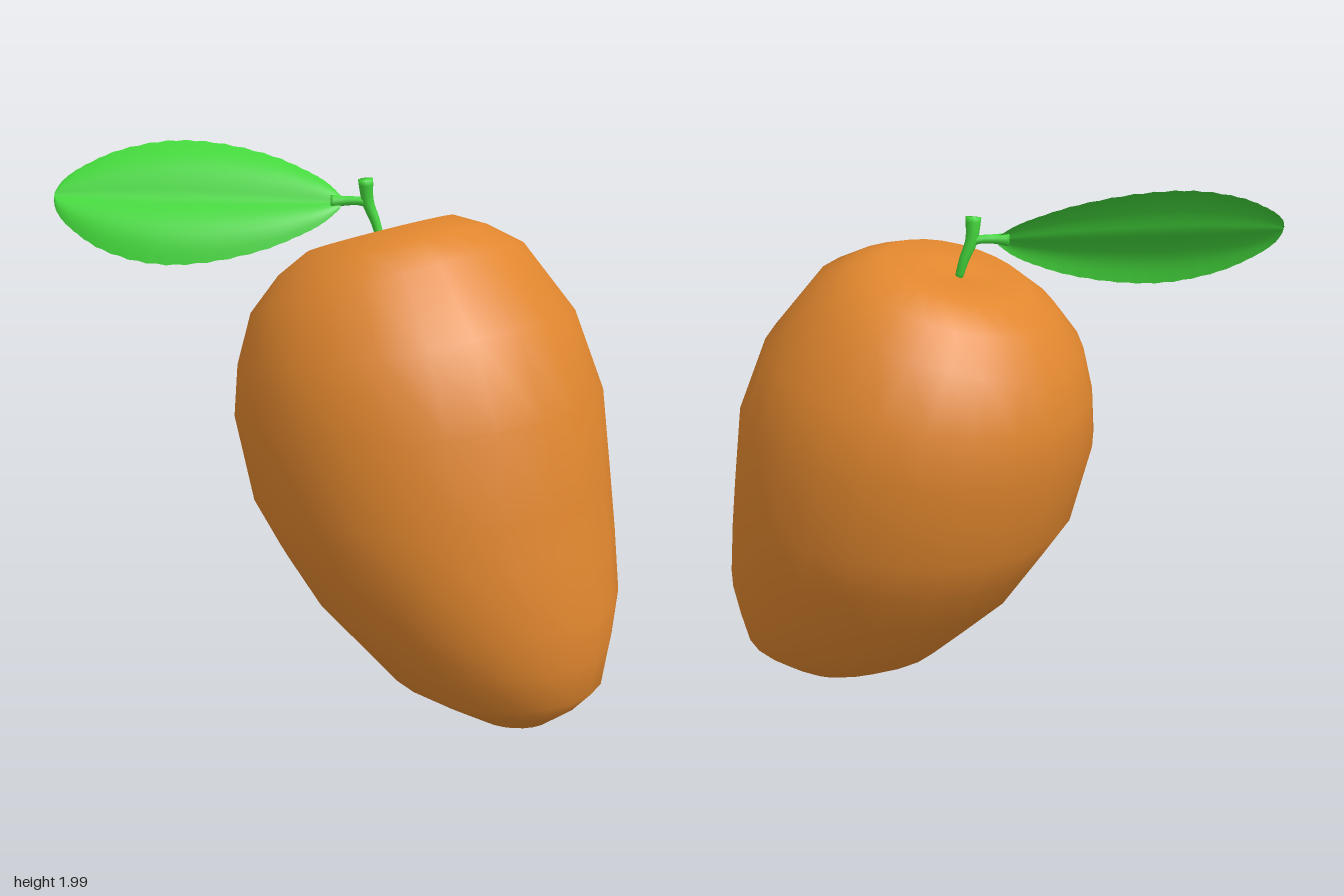
import * as THREE from 'three';

const V = (x, y, z) => new THREE.Vector3(x, y, z);

// Skin a grid of points: point(i, j) for i in 0..rows, j in 0..cols
function skin(rows, cols, point, wrap) {
  const pos = [], idx = [], n = wrap ? cols : cols + 1;
  for (let i = 0; i <= rows; i++)
    for (let j = 0; j < n; j++) pos.push(...point(i, j).toArray());
  for (let i = 0; i < rows; i++)
    for (let j = 0; j < cols; j++) {
      const a = i * n + j, b = i * n + (j + 1) % n, c = a + n, d = b + n;
      idx.push(a, b, c, b, d, c);
    }
  const g = new THREE.BufferGeometry();
  g.setAttribute('position', new THREE.Float32BufferAttribute(pos, 3));
  g.setIndex(idx);
  g.computeVertexNormals();
  return g;
}

// Round capped rod along a curve, with a radius that varies from end to end
function rod(points, radii) {
  const curve = new THREE.CatmullRomCurve3(points);
  const rows = 12, cols = 10;
  const frames = curve.computeFrenetFrames(rows);
  return skin(rows + 2, cols, (i, j) => {
    const k = Math.min(Math.max(i - 1, 0), rows), t = k / rows;
    const f = t * (radii.length - 1), m = Math.min(Math.floor(f), radii.length - 2);
    const capped = i === 0 || i === rows + 2;
    const r = capped ? 0.0005 : THREE.MathUtils.lerp(radii[m], radii[m + 1], f - m);
    const a = j / cols * Math.PI * 2;
    return curve.getPointAt(t)
      .addScaledVector(frames.normals[k], r * Math.cos(a))
      .addScaledVector(frames.binormals[k], r * Math.sin(a));
  }, true);
}

export function createModel() {
  const group = new THREE.Group();
  const add = (name, geometry, color, side = THREE.FrontSide) => {
    const mesh = new THREE.Mesh(geometry, new THREE.MeshStandardMaterial({ color, side }));
    mesh.name = name;
    group.add(mesh);
  };

  // Fruit: tilted oval rings, each [left x, left y, right x, right y, half depth]
  const rings = [
    [0.01, 1.67, 0.012, 1.671, 0.001],
    [-0.1, 1.648, 0.13, 1.718, 0.13],
    [-0.23, 1.61, 0.26, 1.77, 0.28],
    [-0.33, 1.52, 0.38, 1.745, 0.39],
    [-0.42, 1.38, 0.51, 1.69, 0.51],
    [-0.45, 1.22, 0.71, 1.46, 0.62],
    [-0.46, 1.06, 0.83, 1.18, 0.665],
    [-0.38, 0.76, 0.875, 0.88, 0.65],
    [-0.28, 0.61, 0.91, 0.69, 0.605],
    [-0.17, 0.45, 0.95, 0.47, 0.535],
    [0, 0.29, 0.945, 0.32, 0.44],
    [0.13, 0.17, 0.93, 0.18, 0.36],
    [0.3, 0.08, 0.86, 0.1, 0.24],
    [0.47, 0.005, 0.76, 0.02, 0.12],
    [0.61, 0.006, 0.612, 0.006, 0.001],
  ];
  const sides = 24;
  add('fruit', skin(rings.length - 1, sides, (i, j) => {
    const [lx, ly, rx, ry, depth] = rings[i];
    const a = j / sides * Math.PI * 2, c = Math.cos(a);
    return V((lx + rx) / 2 + c * (rx - lx) / 2, (ly + ry) / 2 + c * (ry - ly) / 2,
      -0.01 + depth * Math.sin(a));
  }, true), 0xe0862e);

  // Stem with a thicker cut end, and the leaf stalk branching off it
  const green = 0x44d83c;
  add('stem', rod([V(0.018, 1.665, -0.005), V(0, 1.73, 0), V(-0.022, 1.8, 0.015), V(-0.024, 1.88, 0.026)],
    [0.014, 0.018, 0.022, 0.028]), green);
  add('leafStalk', rod([V(-0.015, 1.795, 0.012), V(-0.05, 1.803, 0.033), V(-0.09, 1.803, 0.06), V(-0.13, 1.8, 0.088)],
    [0.017, 0.015, 0.017, 0.024]), green);

  // Leaf blade: tilted sheet, grooved at the midrib and curling back at its margins
  const base = V(-0.1, 1.798, 0.07), tip = V(-0.945, 1.815, 0.64);
  const across = V(-0.08, 0.193, -0.14);
  const normal = across.clone().cross(tip.clone().sub(base)).normalize();
  const outline = new THREE.SplineCurve([
    [0, 0.1], [0.05, 0.31], [0.12, 0.5], [0.26, 0.77], [0.45, 0.97], [0.63, 1],
    [0.8, 0.82], [0.92, 0.52], [0.98, 0.27], [1, 0.06],
  ].map(([t, w]) => new THREE.Vector2(t, w)));
  const rows = 48, cols = 16;
  add('leaf', skin(rows, cols, (i, j) => {
    const p = outline.getPoint(i / rows), s = j / cols * 2 - 1;
    const ripple = 1 + (Math.abs(s) === 1 && i % 2 ? 0.02 : 0);
    const bulge = p.y * (0.025 * Math.sin(Math.PI * Math.abs(s)) - 0.022 * s ** 4);
    return base.clone().lerp(tip, p.x)
      .addScaledVector(across, s * p.y * ripple)
      .addScaledVector(normal, bulge);
  }, false), green, THREE.DoubleSide);

  return group;
}
